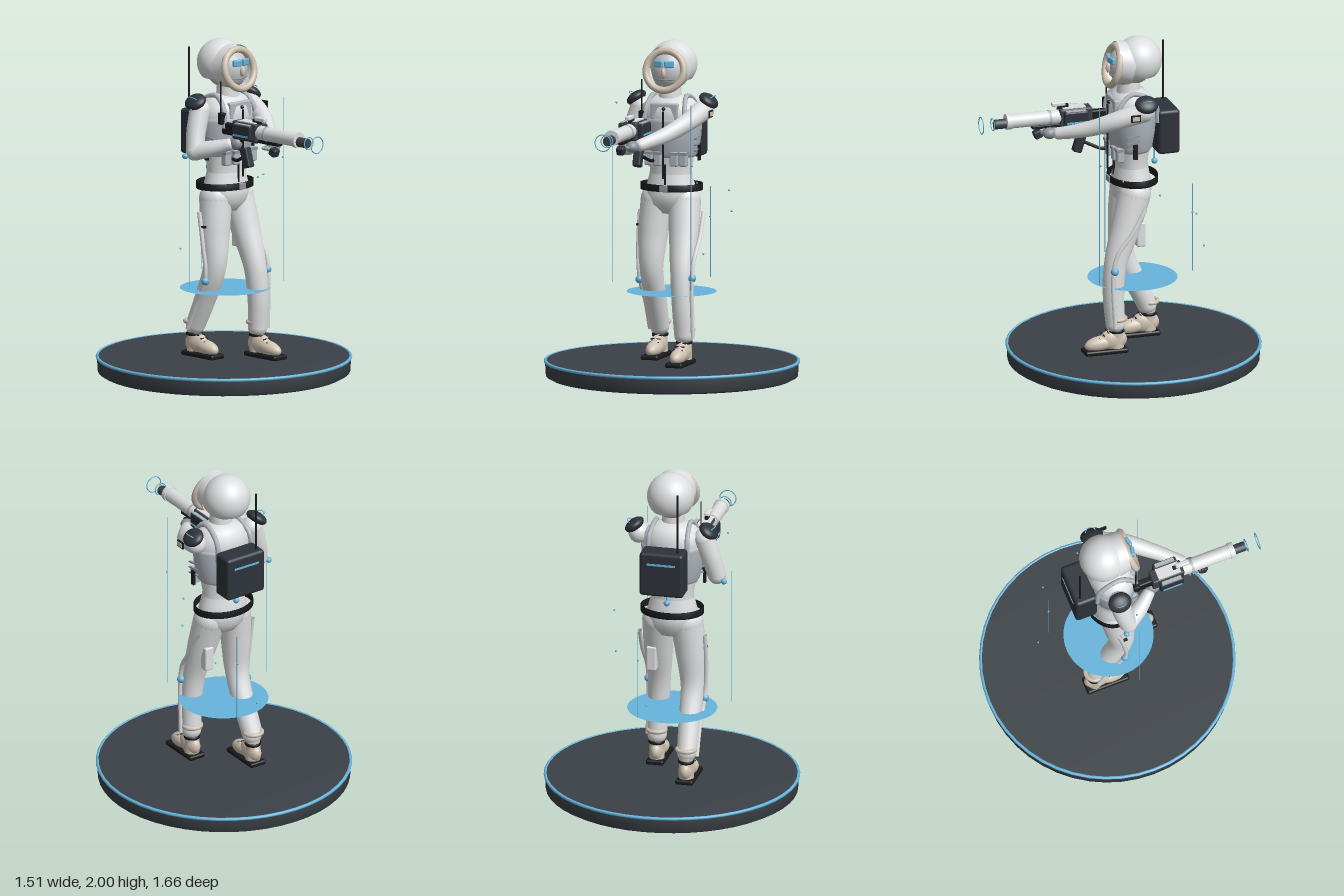
import * as THREE from 'three';
import { RoundedBoxGeometry } from 'three/addons/geometries/RoundedBoxGeometry.js';

const V = (x, y, z) => new THREE.Vector3(x, y, z);

export function createModel() {
  const group = new THREE.Group();
  const mat = (name, color) => new THREE.MeshStandardMaterial({ name, color, side: THREE.DoubleSide });
  const white = mat('suitWhite', 0xdddedf), vestGrey = mat('vestGrey', 0xaeb6be);
  const charcoal = mat('charcoal', 0x3b4147), dark = mat('darkPlate', 0x2d333a);
  const black = mat('black', 0x191a1c), tan = mat('furTan', 0xcfc2b1);
  const blue = mat('glowBlue', 0x66b4dc), steel = mat('gloveSteel', 0x8d949b);
  const face = mat('faceGrey', 0xc3c6c9);

  const add = (name, geo, m, p = [0, 0, 0], r = [0, 0, 0], s = [1, 1, 1]) => {
    const mesh = new THREE.Mesh(geo, m);
    mesh.name = name;
    mesh.position.set(...p);
    mesh.rotation.set(...r);
    mesh.scale.set(...s);
    group.add(mesh);
    return mesh;
  };
  const box = (name, m, p, size, r) => add(name, new THREE.BoxGeometry(...size), m, p, r);
  const rbox = (name, m, p, size, rad = 0.01, r) => add(name, new RoundedBoxGeometry(...size, 3, rad), m, p, r);
  const ball = (name, m, p, s, r) => add(name, new THREE.SphereGeometry(1, 28, 18), m, p, r, Array.isArray(s) ? s : [s, s, s]);
  const ring = (name, m, p, rad, tube, r, s) => add(name, new THREE.TorusGeometry(rad, tube, 12, 48), m, p, r, s);
  // cylinder along z
  const barrel = (name, m, x, y, z0, z1, r) =>
    add(name, new THREE.CylinderGeometry(r, r, z1 - z0, 24), m, [x, y, (z0 + z1) / 2], [Math.PI / 2, 0, 0]);
  const rod = (name, m, a, b, r) => add(name, new THREE.TubeGeometry(new THREE.LineCurve3(V(...a), V(...b)), 1, r, 8), m);
  const lathe = (name, m, pts, p, s) =>
    add(name, new THREE.LatheGeometry(pts.map(q => new THREE.Vector2(...q)), 48), m, p, [0, 0, 0], s);
  const tube = (name, m, pts, r) =>
    add(name, new THREE.TubeGeometry(new THREE.CatmullRomCurve3(pts.map(q => V(...q))), 32, r, 8), m);
  // limb through points [x, y, z, radius], with round ends
  const limb = (name, m, pts) => {
    const curve = new THREE.CatmullRomCurve3(pts.map(q => V(q[0], q[1], q[2])));
    const seg = 36, rad = 20, n = pts.length - 1;
    const geo = new THREE.TubeGeometry(curve, seg, 1, rad);
    const pos = geo.attributes.position, v = V(0, 0, 0);
    for (let i = 0; i <= seg; i++) {
      const c = curve.getPointAt(i / seg);
      const t = curve.getUtoTmapping(i / seg) * n, k = Math.min(Math.floor(t), n - 1);
      const r = THREE.MathUtils.lerp(pts[k][3], pts[k + 1][3], t - k);
      for (let j = 0; j <= rad; j++) {
        const id = i * (rad + 1) + j;
        v.fromBufferAttribute(pos, id).sub(c).multiplyScalar(r).add(c);
        pos.setXYZ(id, v.x, v.y, v.z);
      }
    }
    add(name, geo, m);
    for (const q of [pts[0], pts[n]]) ball(name + 'End', m, q.slice(0, 3), q[3]);
  };

  // Display base
  const cz = -0.077;
  lathe('base', charcoal, [[0, 0], [0.715, 0], [0.742, 0.015], [0.747, 0.095], [0.74, 0.107], [0, 0.107]], [0, 0, cz]);
  ring('baseRim', blue, [0, 0.1, cz], 0.744, 0.01, [Math.PI / 2, 0, 0]);
  add('scanDisc', new THREE.CircleGeometry(0.265, 64), blue, [0, 0.515, -0.07], [-Math.PI / 2, 0, 0]);

  // Floating light lines and motes
  for (const [x, z, top] of [[-0.345, -0.01, 1.38], [0.215, 0.2, 1.66], [0.127, -0.4, 1.1]])
    rod('lightLine', blue, [x, 0.56, z], [x, top, z], 0.002);
  for (const p of [[-0.325, 1.625, -0.02], [0.2, 1.18, 0.05], [0.335, 1.12, -0.135], [0.265, 0.96, -0.38],
    [0.125, 0.92, -0.4], [0.05, 0.68, -0.495], [0.22, 1.3, 0.195]]) ball('mote', blue, p, 0.006);

  // Legs and boots: [side, knee ball position, ankle z, leg path]
  const legs = [
    { s: 1, x: 0.128, az: 0.075, path: [[0.085, 1.06, -0.055, 0.098], [0.1, 0.87, 0.0, 0.088], [0.112, 0.64, 0.07, 0.067], [0.122, 0.45, 0.085, 0.063], [0.128, 0.28, 0.075, 0.058]],
      pipe: [[0.192, 0.99, -0.09], [0.196, 0.85, -0.01], [0.19, 0.72, 0.08], [0.186, 0.6, 0.105], [0.19, 0.27, 0.095]], knee: [0.186, 0.62, 0.097] },
    { s: -1, x: -0.118, az: -0.2, path: [[-0.085, 1.06, -0.06, 0.098], [-0.105, 0.87, -0.045, 0.09], [-0.115, 0.65, -0.04, 0.069], [-0.115, 0.45, -0.12, 0.064], [-0.118, 0.29, -0.195, 0.058]],
      pipe: [[-0.2, 0.99, -0.08], [-0.2, 0.8, -0.05], [-0.19, 0.6, -0.04], [-0.18, 0.43, -0.125], [-0.18, 0.27, -0.2]], knee: [-0.19, 0.58, -0.04] },
  ];
  for (const { x, az, path, pipe, knee } of legs) {
    limb('leg', white, path);
    tube('legPipe', white, pipe, 0.013);
    ball('kneeLight', blue, knee, 0.024);
    ring('furCuff', tan, [x, 0.312, az - 0.01], 0.052, 0.013, [Math.PI / 2, 0, 0], [1, 0.95, 1]);
    add('ankle', new THREE.CylinderGeometry(0.043, 0.045, 0.14, 24), tan, [x, 0.2, az - 0.005]);
    ring('ankleStrap', black, [x, 0.237, az - 0.005], 0.041, 0.008, [Math.PI / 2, 0, 0], [1, 1, 1.4]);
    ball('bootToe', tan, [x, 0.165, az + 0.095], [0.046, 0.045, 0.095], [0.15, 0, 0]);
    ball('bootHeel', tan, [x, 0.18, az + 0.015], [0.046, 0.065, 0.085]);
    rbox('sole', black, [x, 0.12, az + 0.065], [0.108, 0.03, 0.265], 0.012);
    for (const i of [0, 1, 2]) rod('lace', black, [x - 0.03, 0.235 - i * 0.017, az + 0.05 + i * 0.028], [x + 0.03, 0.235 - i * 0.017, az + 0.05 + i * 0.028], 0.004);
  }
  rbox('thighPouch', white, [0.12, 0.82, -0.08], [0.06, 0.15, 0.055]);
  // Sheathed knife
  rbox('knifeSheath', black, [-0.168, 0.985, -0.05], [0.03, 0.17, 0.045], 0.008, [0, 0, -0.06]);
  box('knifeGuard', black, [-0.17, 0.905, -0.05], [0.075, 0.012, 0.04]);

  // Torso
  const ctr = -0.06, oval = [1, 1, 0.76];
  lathe('pelvis', white, [[0, 0.97], [0.1, 0.985], [0.15, 1.04], [0.16, 1.1], [0.14, 1.17], [0.128, 1.22]], [0, 0, ctr], oval);
  lathe('torso', white, [[0.135, 1.16], [0.126, 1.24], [0.142, 1.34], [0.168, 1.46], [0.18, 1.56], [0.172, 1.62], [0.13, 1.66], [0.07, 1.685], [0, 1.69]], [0, 0, ctr], oval);
  lathe('vest', vestGrey, [[0.145, 1.32], [0.162, 1.34], [0.182, 1.44], [0.188, 1.53], [0.184, 1.55], [0.165, 1.55]], [0, 0, ctr], oval);
  rbox('chestPanel', vestGrey, [0, 1.595, 0.05], [0.17, 0.1, 0.035]);
  lathe('belt', black, [[0.178, 1.12], [0.188, 1.12], [0.188, 1.16], [0.178, 1.16], [0.178, 1.12]], [0, 0, -0.07], [1, 1, 0.78]);
  rbox('buckle', steel, [0, 1.14, 0.078], [0.05, 0.04, 0.014], 0.005);
  box('zipper', black, [0, 1.4, 0.084], [0.01, 0.4, 0.008]);
  box('lowerZipper', black, [0, 1.22, 0.045], [0.01, 0.12, 0.01]);
  ball('zipperPull', black, [0, 1.613, 0.075], 0.011);
  for (const x of [-0.1, -0.04, 0.06, 0.112]) {
    rbox('chestPouch', vestGrey, [x, 1.315, 0.065 - Math.abs(x) * 0.2], [0.05, 0.085, 0.045]);
    box('pouchFlap', steel, [x, 1.348, 0.066 - Math.abs(x) * 0.2], [0.052, 0.016, 0.05]);
  }
  for (const s of [-1, 1]) {
    tube('shoulderStrap', vestGrey, [[s * 0.13, 1.5, 0.06], [s * 0.12, 1.61, 0.045], [s * 0.105, 1.68, -0.04], [s * 0.115, 1.62, -0.17], [s * 0.12, 1.5, -0.19]], 0.015);
    for (const y of [1.37, 1.405, 1.44]) box('vestRib', steel, [s * 0.178, y, -0.02], [0.014, 0.008, 0.08], [0.15, 0, 0]);
    box('sideClip', black, [s * 0.187, 1.35, -0.03], [0.014, 0.09, 0.025]);
  }
  rbox('radio', black, [-0.14, 1.56, 0.05], [0.04, 0.07, 0.035], 0.006);
  rod('radioAntenna', black, [-0.145, 1.58, 0.045], [-0.145, 1.78, 0.045], 0.004);

  // Backpack
  rbox('backpack', dark, [0.007, 1.435, -0.255], [0.265, 0.27, 0.135], 0.02);
  box('packStripe', blue, [0.007, 1.5, -0.323], [0.17, 0.012, 0.006]);
  rod('packAntenna', black, [-0.085, 1.55, -0.285], [-0.085, 1.935, -0.285], 0.006);
  rod('packCable', blue, [0, 1.31, -0.205], [0, 1.22, -0.205], 0.004);
  ball('packLight', blue, [0, 1.22, -0.205], 0.018);

  // Head and hood
  add('neck', new THREE.CylinderGeometry(0.062, 0.072, 0.12, 28), white, [0, 1.705, -0.045]);
  ball('head', tan, [0, 1.83, -0.075], [0.108, 0.115, 0.115]);
  ball('faceMask', face, [0, 1.83, -0.025], [0.105, 0.12, 0.098]);
  add('hood', new THREE.SphereGeometry(0.14, 40, 28, 0, Math.PI * 2, 0, 2.25), white, [0, 1.86, -0.105]);
  add('hoodFront', new THREE.CylinderGeometry(0.118, 0.132, 0.1, 40, 1, true), white, [0, 1.855, 0.0], [Math.PI / 2 - 0.2, 0, 0]);
  ring('furRing', tan, [0, 1.838, 0.052], 0.117, 0.021, [-0.24, 0, 0]);
  for (const s of [-1, 1]) rbox('goggleLens', blue, [s * 0.033, 1.878, 0.068], [0.058, 0.04, 0.022], 0.008, [0, s * 0.25, 0]);
  ball('nose', tan, [0, 1.825, 0.076], [0.014, 0.03, 0.018]);
  tube('mouth', steel, [[-0.06, 1.785, 0.05], [0, 1.782, 0.067], [0.06, 1.785, 0.05]], 0.004);

  // Arms, gloves and shoulder plates
  limb('rightUpperArm', white, [[-0.195, 1.6, -0.08, 0.062], [-0.235, 1.48, -0.07, 0.058], [-0.265, 1.365, -0.05, 0.054]]);
  limb('rightForearm', white, [[-0.265, 1.365, -0.05, 0.054], [-0.21, 1.39, 0.045, 0.048], [-0.155, 1.415, 0.12, 0.036]]);
  ball('rightGlove', steel, [-0.13, 1.425, 0.155], [0.035, 0.04, 0.045]);
  ball('elbowLight', blue, [-0.315, 1.34, -0.08], 0.018);
  limb('leftArm', white, [[0.2, 1.6, -0.075, 0.062], [0.155, 1.545, 0.08, 0.054], [0.065, 1.48, 0.23, 0.046], [-0.04, 1.435, 0.37, 0.036]]);
  ball('leftGlove', steel, [-0.075, 1.43, 0.415], [0.038, 0.034, 0.045]);
  for (let i = 0; i < 4; i++) ball('finger', steel, [-0.11, 1.428, 0.39 + i * 0.022], [0.035, 0.014, 0.011]);
  for (const s of [-1, 1]) {
    const tilt = [0, 0, -s * 0.62];
    ball('shoulderPlate', dark, [s * 0.225, 1.652, -0.087], [0.062, 0.034, 0.07], tilt);
    ring('shoulderTrim', blue, [s * 0.238, 1.665, -0.087], 0.034, 0.003, [Math.PI / 2, s * 0.62, 0]);
  }
  box('armPatch', black, [0.264, 1.585, -0.01], [0.008, 0.042, 0.06]);
  box('armPatchFace', tan, [0.269, 1.585, -0.01], [0.006, 0.026, 0.044]);

  // Rifle
  const gx = -0.115, gy = 1.513;
  barrel('rifleBarrel', white, gx, gy, 0.32, 0.67, 0.042);
  barrel('barrelCollar', white, gx, gy, 0.645, 0.675, 0.047);
  barrel('barrelBand', vestGrey, gx, gy, 0.4, 0.415, 0.044);
  barrel('muzzle', charcoal, gx, gy - 0.01, 0.67, 0.745, 0.029);
  ring('muzzleRing', blue, [gx, gy - 0.008, 0.755], 0.036, 0.003);
  ring('frontRing', blue, [gx, gy - 0.008, 0.825], 0.049, 0.003);
  rbox('rifleBody', charcoal, [gx, 1.51, 0.25], [0.085, 0.11, 0.2]);
  for (const s of [-1, 1]) {
    rbox('sidePod', dark, [gx + s * 0.06, 1.51, 0.26], [0.035, 0.09, 0.148]);
    box('podPanel', vestGrey, [gx + s * 0.06, 1.557, 0.26], [0.022, 0.006, 0.12]);
    box('podStripe', blue, [gx + s * 0.08, 1.49, 0.26], [0.006, 0.01, 0.12]);
  }
  box('bodyTop', white, [gx, 1.566, 0.26], [0.07, 0.008, 0.14]);
  rbox('stock', black, [gx, 1.5, 0.105], [0.04, 0.07, 0.13]);
  rbox('scope', white, [gx, 1.592, 0.35], [0.03, 0.026, 0.085], 0.008);
  box('scopeMount', black, [gx, 1.575, 0.32], [0.02, 0.025, 0.06]);
  rbox('underRail', black, [gx, 1.463, 0.41], [0.04, 0.02, 0.21], 0.005);
  rbox('foreGrip', dark, [gx - 0.01, 1.415, 0.475], [0.05, 0.05, 0.05], 0.012, [0.4, 0, 0]);
  rbox('grip', black, [gx, 1.43, 0.175], [0.035, 0.09, 0.04], 0.008, [0.3, 0, 0]);
  rbox('magazine', dark, [gx + 0.01, 1.345, 0.225], [0.05, 0.12, 0.055], 0.01, [-0.3, 0, 0]);
  tube('ammoHose', black, [[gx + 0.01, 1.37, 0.24], [gx + 0.03, 1.33, 0.16], [gx + 0.05, 1.305, 0.09], [-0.06, 1.32, 0.03]], 0.01);
  return group;
}
